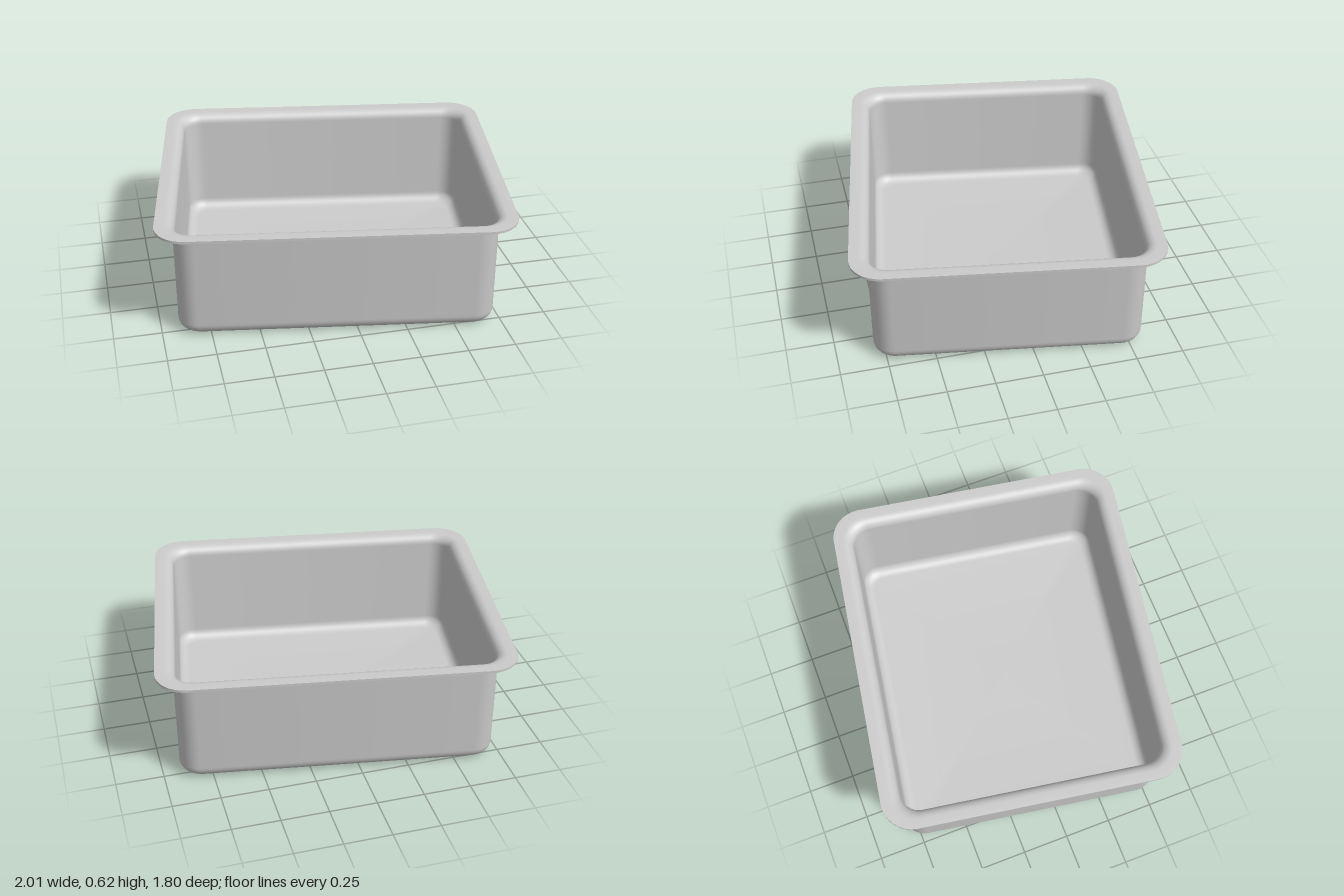
import * as THREE from 'three';
import { toCreasedNormals } from 'three/addons/utils/BufferGeometryUtils.js';

const HALF_X = 0.825, HALF_Z = 0.70; // outer wall half sizes
const HEIGHT = 0.62, THICK = 0.013, FLANGE = 0.089;
const CORNER_STEPS = 8;

// Points along an arc of the wall profile, as [offset from wall, height]
function arc(cx, cy, r, from, to, steps = 8) {
  return Array.from({ length: steps + 1 }, (_, i) => {
    const a = from + (to - from) * i / steps;
    return [cx + r * Math.cos(a), cy + r * Math.sin(a)];
  });
}

// Rounded rectangle, grown or shrunk by an offset
function ring(offset, y) {
  const r = 0.11 + 0.6 * offset;
  const signs = [[1, 1], [-1, 1], [-1, -1], [1, -1]];
  return signs.flatMap(([sx, sz], q) =>
    arc(sx * (HALF_X + offset - r), sz * (HALF_Z + offset - r), r,
      q * Math.PI / 2, (q + 1) * Math.PI / 2, CORNER_STEPS).map(([x, z]) => [x, y, z]));
}

// Skin a profile of rings, closed by a fan at each end
function sweepPan(profile) {
  const rings = profile.map(([o, y]) => ring(o, y));
  const n = rings[0].length, last = rings.length - 1;
  const positions = rings.flat(2), index = [];
  for (let i = 0; i < last; i++) {
    for (let j = 0; j < n; j++) {
      const a = i * n + j, b = i * n + (j + 1) % n;
      index.push(a, a + n, b, b, a + n, b + n);
    }
  }
  const under = rings.length * n, floor = under + 1;
  positions.push(0, profile[0][1], 0, 0, profile[last][1], 0);
  for (let j = 0; j < n; j++) {
    const k = (j + 1) % n;
    index.push(under, j, k, last * n + j, floor, last * n + k);
  }
  const geometry = new THREE.BufferGeometry();
  geometry.setAttribute('position', new THREE.Float32BufferAttribute(positions, 3));
  geometry.setIndex(index);
  return toCreasedNormals(geometry, Math.PI / 5);
}

export function createModel() {
  const group = new THREE.Group();
  const foot = 0.07, neck = 0.04, P = Math.PI;
  const neckY = HEIGHT - THICK - neck;
  const profile = [
    ...arc(-foot, foot, foot, -P / 2, 0),              // outer bottom edge
    ...arc(neck, neckY, neck, P, P / 2),               // under the flange
    [FLANGE, HEIGHT - THICK], [FLANGE, HEIGHT],        // flange rim
    ...arc(neck, neckY, neck + THICK, P / 2, P),       // rounded inner lip
    ...arc(-foot, foot, foot - THICK, 0, -P / 2),      // inner bottom edge
  ];
  const pan = new THREE.Mesh(sweepPan(profile),
    new THREE.MeshStandardMaterial({ color: 0xcccccc }));
  pan.name = 'flangedPan';
  pan.rotation.y = THREE.MathUtils.degToRad(-9.1);
  group.add(pan);
  return group;
}
